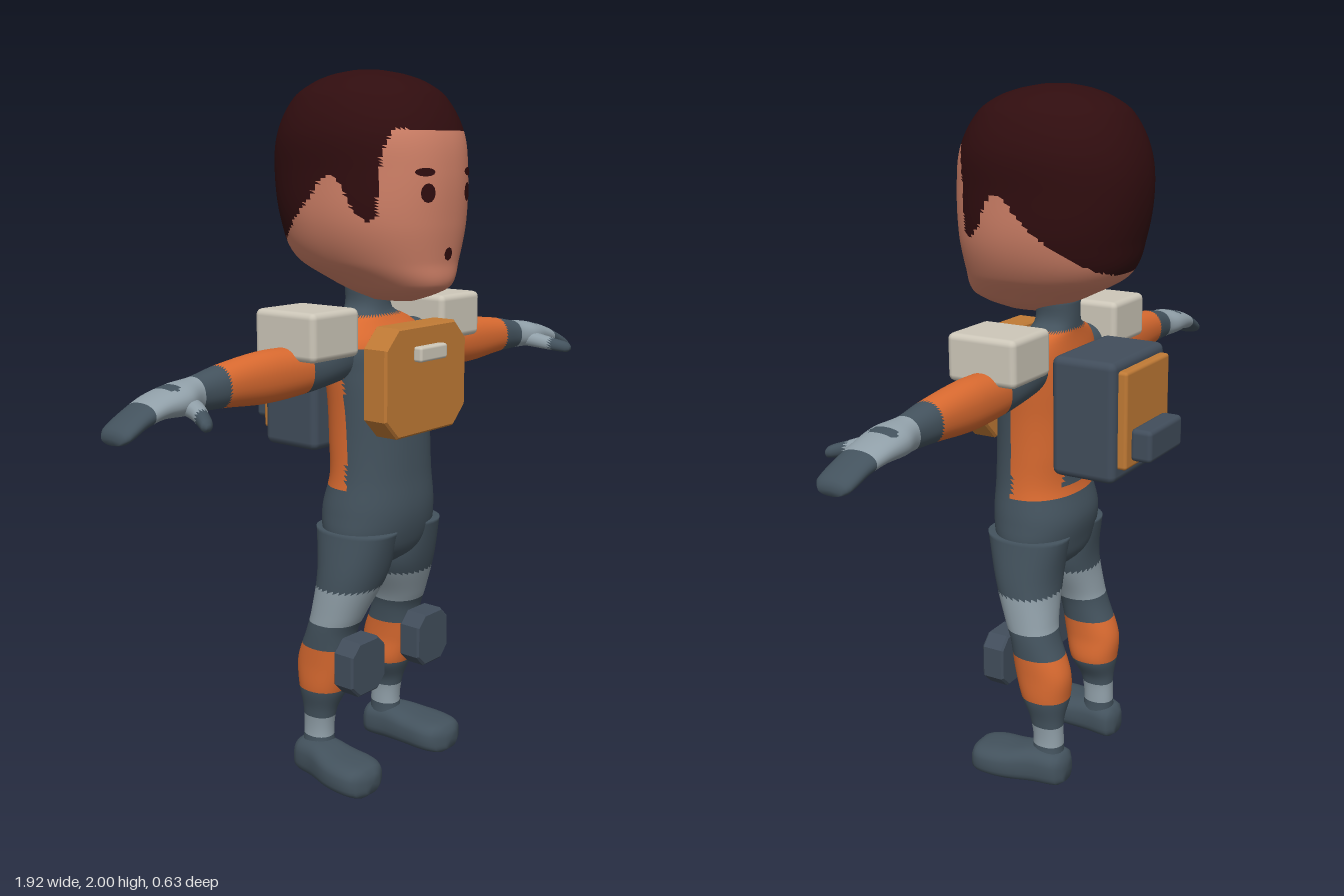
import * as THREE from 'three';
import { RoundedBoxGeometry } from 'three/addons/geometries/RoundedBoxGeometry.js';

const mat = (name, color) => {
  const m = new THREE.MeshStandardMaterial({ color });
  m.name = name;
  return m;
};

// Interpolates rows of [t, a, b, ...]; smooth uses Hermite tangents.
function sample(rows, t, smooth = true) {
  const last = rows.length - 1;
  let i = 0;
  while (i < last - 1 && t > rows[i + 1][0]) i++;
  const a = rows[i], b = rows[i + 1], h = b[0] - a[0];
  const u = Math.min(1, Math.max(0, (t - a[0]) / h));
  const slope = (k, j) => {
    const p = rows[Math.max(0, k - 1)], q = rows[Math.min(last, k + 1)];
    return (q[j] - p[j]) / (q[0] - p[0]);
  };
  return a.slice(1).map((v, n) => {
    const j = n + 1;
    if (!smooth) return v + (b[j] - v) * u;
    const u2 = u * u, u3 = u2 * u;
    return v * (2 * u3 - 3 * u2 + 1) + b[j] * (3 * u2 - 2 * u3)
      + h * (slope(i, j) * (u3 - 2 * u2 + u) + slope(i + 1, j) * (u3 - u2));
  });
}

// Lofts superellipse rings [t, c1, r1, c2, r2]; paint(x, y, z) picks the material of each face.
function loft(name, rows, { place, materials, paint = () => 0, segments = 32, step = 0.015, power = 2.2, side = 1 }) {
  const levels = [rows[0][0]];
  for (let i = 1; i < rows.length; i++) {
    const a = rows[i - 1][0], b = rows[i][0], n = Math.ceil((b - a) / step);
    for (let k = 1; k <= n; k++) levels.push(a + (b - a) * k / n);
  }
  const pos = [], add = (p) => pos.push(p[0] * side, p[1], p[2]);
  const bend = (v) => Math.sign(v) * Math.abs(v) ** (2 / power);
  for (const t of levels) {
    const [c1, r1, c2, r2] = sample(rows, t);
    for (let s = 0; s < segments; s++) {
      const a = s / segments * Math.PI * 2;
      add(place(c1 + r1 * bend(Math.cos(a)), c2 + r2 * bend(Math.sin(a)), t));
    }
  }
  const ends = [rows[0], rows[rows.length - 1]];
  ends.forEach((r) => add(place(r[1], r[3], r[0])));
  const faces = [], top = (levels.length - 1) * segments, cap = levels.length * segments;
  for (let s = 0; s < segments; s++) {
    const n = (s + 1) % segments;
    faces.push([n, s, cap], [top + s, top + n, cap + 1]);
    for (let l = 0; l < top; l += segments) {
      faces.push([l + s, l + n, l + segments + n], [l + s, l + segments + n, l + segments + s]);
    }
  }
  // Turn the faces outward, then sort them by colour.
  const at = (i) => new THREE.Vector3().fromArray(pos, i * 3);
  const volume = faces.reduce((v, [a, b, c]) => v + at(a).dot(at(b).cross(at(c))), 0);
  const buckets = materials.map(() => []);
  for (const [a, b, c] of faces) {
    const m = at(a).add(at(b)).add(at(c)).divideScalar(3);
    buckets[paint(m.x * side, m.y, m.z)].push(...(volume > 0 ? [a, b, c] : [a, c, b]));
  }
  const g = new THREE.BufferGeometry();
  g.setAttribute('position', new THREE.Float32BufferAttribute(pos, 3));
  g.setIndex(buckets.flat());
  let start = 0;
  buckets.forEach((b, i) => { g.addGroup(start, b.length, i); start += b.length; });
  g.computeVertexNormals();
  const mesh = new THREE.Mesh(g, materials);
  mesh.name = name;
  return mesh;
}

const alongX = (y, z, t) => [t, y, z];
const alongY = (x, z, t) => [x, t, z];
const alongZ = (x, y, t) => [x, y, t];

export function createModel() {
  const model = new THREE.Group();
  model.name = 'suitedFigure';
  const suit = mat('slate suit', 0x43525d), gear = mat('dark gear', 0x414d5b);
  const grey = mat('light grey', 0x909fa8), orange = mat('orange', 0xd96a30);
  const skin = mat('skin', 0xcf8067), hair = mat('dark hair', 0x300d0f);
  const amber = mat('amber plate', 0xc07a35), cream = mat('cream pad', 0xcdc7b9);

  // Head, with hair above a hairline that depends on depth
  const span = ([y, w, back, front]) => [y, 0, w, (back + front) / 2, (front - back) / 2];
  const headRows = [
    [1.39, 0.04, 0.05, 0.19], [1.41, 0.085, 0, 0.25], [1.435, 0.12, -0.06, 0.293], [1.5, 0.183, -0.175, 0.299],
    [1.6, 0.222, -0.215, 0.309], [1.735, 0.23, -0.235, 0.311], [1.84, 0.227, -0.22, 0.294], [1.93, 0.187, -0.172, 0.243],
    [1.97, 0.137, -0.115, 0.185], [1.99, 0.09, -0.06, 0.125], [2, 0.04, -0.01, 0.07],
  ].map(span);
  const hairline = [
    [-0.24, 1.49], [-0.19, 1.51], [-0.075, 1.59], [0.02, 1.67], [0.06, 1.72], [0.095, 1.73], [0.125, 1.7],
    [0.15, 1.64], [0.19, 1.605], [0.21, 1.62], [0.22, 1.77], [0.24, 1.845], [0.32, 1.835],
  ];
  model.add(loft('head', headRows, {
    place: alongY, materials: [skin, hair], segments: 112, step: 0.008,
    paint: (x, y, z) => (y > sample(hairline, z, false)[0] ? 1 : 0),
  }));

  // Face details laid onto the head surface
  const faceMark = (name, x, y, rx, ry, sides = 12) => {
    const g = new THREE.CircleGeometry(1, sides).scale(rx, ry, 1).translate(x, y, 0);
    const p = g.attributes.position;
    for (let i = 0; i < p.count; i++) {
      const [, w, c, r] = sample(headRows, p.getY(i));
      p.setZ(i, c + r * (1 - Math.abs(p.getX(i) / w) ** 2.2) ** (1 / 2.2) + 0.004);
    }
    g.computeVertexNormals();
    const mesh = new THREE.Mesh(g, hair);
    mesh.name = name;
    model.add(mesh);
  };
  for (const s of [1, -1]) {
    faceMark('eye', s * 0.085, 1.682, 0.021, 0.025);
    faceMark('eyebrow', s * 0.092, 1.735, 0.028, 0.011);
  }
  faceMark('mouth', 0, 1.522, 0.017, 0.018, 8);

  // Torso and neck
  model.add(loft('torso', [
    [0.63, 0.05, 0.01, 0.11], [0.67, 0.13, -0.035, 0.165], [0.72, 0.18, -0.052, 0.19], [0.8, 0.18, -0.065, 0.205],
    [0.9, 0.165, -0.042, 0.2], [1, 0.163, -0.045, 0.196], [1.1, 0.168, -0.045, 0.19], [1.2, 0.18, -0.045, 0.175],
    [1.28, 0.19, -0.035, 0.15], [1.33, 0.14, -0.03, 0.11], [1.36, 0.072, -0.03, 0.092], [1.43, 0.066, -0.03, 0.088],
  ].map(span), {
    place: alongY, materials: [suit, orange], segments: 64,
    paint: (x, y, z) => {
      const backPanel = z < -0.03 && y > 0.9 && y < 1.1;
      return y < 1.345 && y > 0.868 && (z < 0.088 || y > 1.27) && !backPanel ? 1 : 0;
    },
  }));

  for (const side of [1, -1]) {
    const limb = (name, rows, options) => model.add(loft(name, rows, { side, ...options }));

    // Arm, glove and thumb
    limb('arm', [
      [0.12, 1.25, 0.065, 0.05, 0.065], [0.2, 1.245, 0.073, 0.05, 0.068], [0.3, 1.226, 0.066, 0.048, 0.06],
      [0.45, 1.222, 0.068, 0.047, 0.057], [0.6, 1.22, 0.054, 0.05, 0.05], [0.69, 1.213, 0.044, 0.053, 0.045],
      [0.75, 1.21, 0.04, 0.057, 0.062], [0.82, 1.203, 0.031, 0.057, 0.058], [0.88, 1.186, 0.026, 0.062, 0.053],
      [0.945, 1.157, 0.022, 0.068, 0.05], [0.96, 1.15, 0.014, 0.068, 0.035],
    ], {
      place: alongX, materials: [suit, orange, grey], step: 0.01, segments: 40,
      paint: (x, y, z) => {
        const badge = ((x - 0.775) / 0.018) ** 2 + ((z - 0.053) / 0.042) ** 2 < 1 && y > 1.21;
        if (x > 0.31 && x < 0.605) return 1;
        return x > 0.69 && x < 0.865 && !badge ? 2 : 0;
      },
    });
    limb('thumb', [
      [0.07, 0.735, 0.03, 1.2, 0.025], [0.13, 0.75, 0.026, 1.19, 0.022],
      [0.17, 0.77, 0.022, 1.18, 0.019], [0.205, 0.79, 0.018, 1.172, 0.015], [0.213, 0.793, 0.008, 1.17, 0.007],
    ], { place: alongZ, materials: [suit, grey], segments: 16, paint: (x, y, z) => (z < 0.165 ? 1 : 0) });

    // Leg with coloured bands
    limb('leg', [
      [0.05, 0.16, 0.05, -0.02, 0.055], [0.12, 0.155, 0.039, -0.025, 0.046], [0.2, 0.155, 0.043, -0.02, 0.051],
      [0.27, 0.147, 0.067, -0.012, 0.072], [0.35, 0.15, 0.066, -0.004, 0.084], [0.45, 0.148, 0.071, 0.022, 0.072],
      [0.5, 0.14, 0.077, 0.038, 0.076], [0.62, 0.108, 0.102, 0.065, 0.096], [0.75, 0.095, 0.095, 0.072, 0.125],
    ], {
      place: alongY, materials: [suit, orange, grey], step: 0.01,
      paint: (x, y) => {
        if (y > 0.27 && y < 0.405) return 1;
        return (y > 0.12 && y < 0.18) || (y > 0.48 && y < 0.585) ? 2 : 0;
      },
    });
    limb('boot', [
      [-0.09, 0.16, 0.03, 0.048, 0.036], [-0.075, 0.16, 0.052, 0.05, 0.049], [0, 0.17, 0.062, 0.055, 0.055],
      [0.08, 0.183, 0.076, 0.05, 0.05], [0.15, 0.186, 0.078, 0.047, 0.047], [0.19, 0.188, 0.06, 0.044, 0.042],
      [0.205, 0.188, 0.03, 0.042, 0.028],
    ], { place: alongZ, materials: [suit], power: 2.8 });
  }

  // Hard gear: rounded boxes and plates with cut corners
  const box = (name, material, min, max, radius) => {
    const size = max.map((v, i) => v - min[i]);
    const mesh = new THREE.Mesh(new RoundedBoxGeometry(...size, 2, radius), material);
    mesh.position.set(...max.map((v, i) => (v + min[i]) / 2));
    mesh.name = name;
    model.add(mesh);
  };
  const plate = (name, material, x, y, w, h, cut, z0, z1) => {
    const b = 0.006, W = w / 2 - b, H = h / 2 - b;
    const shape = new THREE.Shape([
      [W, -H + cut], [W, H - cut], [W - cut, H], [-W + cut, H],
      [-W, H - cut], [-W, -H + cut], [-W + cut, -H], [W - cut, -H],
    ].map((p) => new THREE.Vector2(...p)));
    const g = new THREE.ExtrudeGeometry(shape, {
      depth: z1 - z0 - 2 * b, bevelThickness: b, bevelSize: b, bevelSegments: 1,
    });
    const mesh = new THREE.Mesh(g, material);
    mesh.position.set(x, y, z0 + b);
    mesh.name = name;
    model.add(mesh);
  };
  plate('chestPlate', amber, 0, 1.18, 0.36, 0.3, 0.05, 0.16, 0.24);
  box('chestLabel', cream, [-0.06, 1.233, 0.235], [0.06, 1.275, 0.265], 0.008);
  for (const s of [1, -1]) {
    box('shoulderPad', cream, [s * 0.275 - 0.094, 1.255, -0.055], [s * 0.275 + 0.094, 1.385, 0.155], 0.018);
    plate('kneePad', gear, s * 0.15, 0.37, 0.148, 0.16, 0.03, 0.09, 0.16);
  }
  box('backpack', gear, [-0.155, 0.96, -0.23], [0.155, 1.3, -0.035], 0.022);
  box('backpackPanel', amber, [-0.13, 1, -0.256], [0.13, 1.275, -0.222], 0.01);
  box('backpackPouch', gear, [-0.1, 1.02, -0.315], [0.1, 1.112, -0.25], 0.014);
  return model;
}
